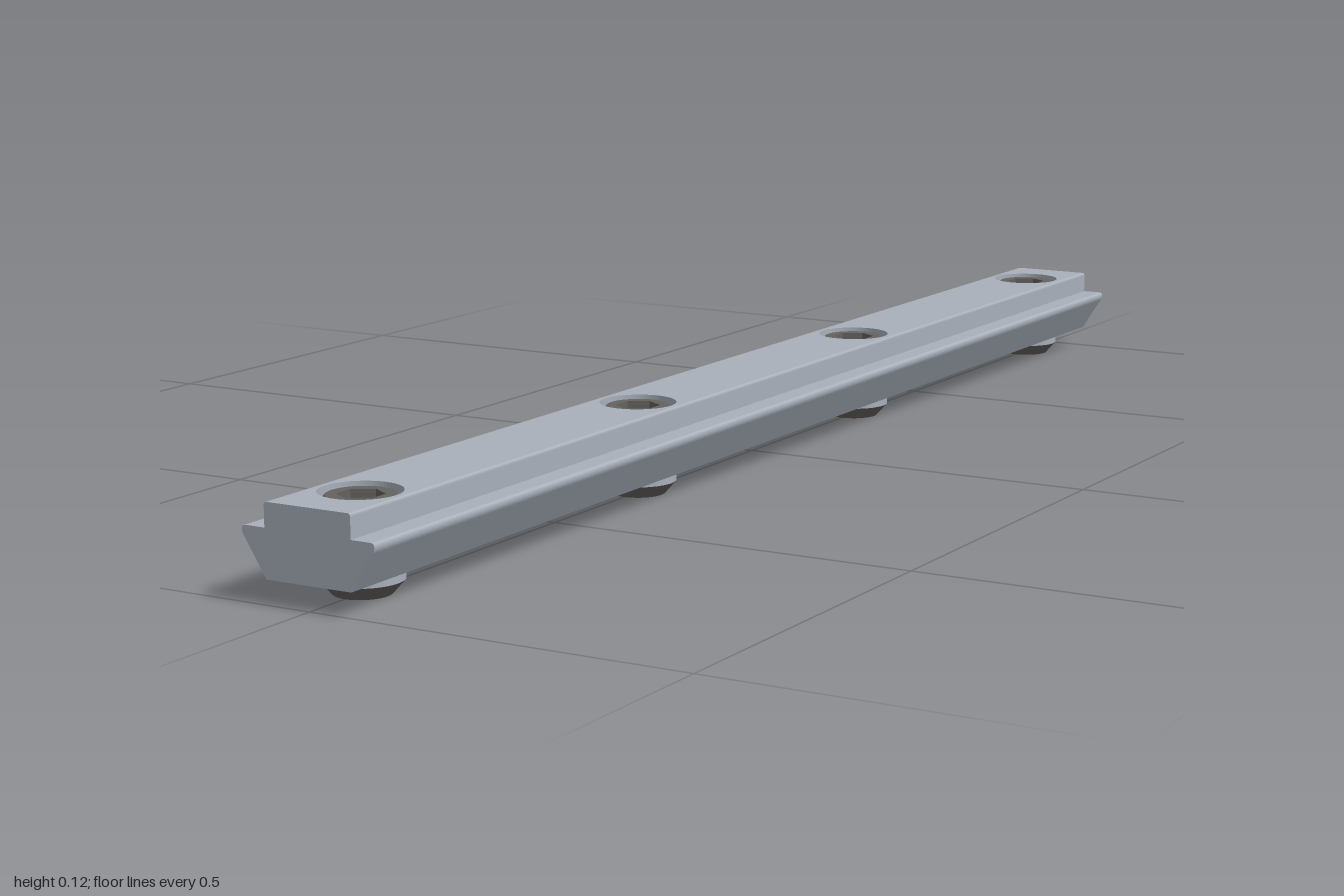
import * as THREE from 'three';

const steel = new THREE.MeshStandardMaterial({ color: 0xa8b0ba });
steel.name = 'brushed steel';
const dark = new THREE.MeshStandardMaterial({ color: 0x64625f, side: THREE.DoubleSide });
dark.name = 'dark screw steel';
const lining = new THREE.MeshStandardMaterial({ color: 0xa8b0ba, side: THREE.DoubleSide });
lining.name = 'steel lining';

const LENGTH = 2, CORE = 0.055, BOTTOM = 0.03, TOP = 0.12, HOLE = 0.05, SIDES = 40;
const SCREW_Z = [-0.9, -0.3, 0.3, 0.9];

function add(parent, name, geometry, material, y = 0) {
  const mesh = new THREE.Mesh(geometry, material);
  mesh.name = name;
  mesh.position.y = y;
  parent.add(mesh);
  return mesh;
}

// Open cylinder or cone wall between two heights
function wall(r0, y0, r1, y1, sides = SIDES) {
  return new THREE.CylinderGeometry(r1, r0, y1 - y0, sides, 1, true).translate(0, (y0 + y1) / 2, 0);
}

// Middle of the bar, with through holes for the screws
function coreGeometry() {
  const shape = new THREE.Shape();
  shape.moveTo(-CORE, -LENGTH / 2).lineTo(CORE, -LENGTH / 2);
  shape.lineTo(CORE, LENGTH / 2).lineTo(-CORE, LENGTH / 2).closePath();
  for (const z of SCREW_Z) {
    shape.holes.push(new THREE.Path().absarc(0, z, HOLE, 0, Math.PI * 2, true));
  }
  return new THREE.ExtrudeGeometry(shape, { depth: TOP - BOTTOM, bevelEnabled: false, curveSegments: SIDES })
    .rotateX(-Math.PI / 2).translate(0, BOTTOM, 0);
}

// Sloped flange and rounded shoulder on one side
function flangeGeometry(side) {
  const s = new THREE.Shape();
  s.moveTo(side * CORE, BOTTOM);
  s.lineTo(side * 0.059, BOTTOM);
  s.lineTo(side * 0.09, 0.078);
  s.quadraticCurveTo(side * 0.0925, 0.082, side * 0.092, 0.086);
  s.quadraticCurveTo(side * 0.0915, 0.09, side * 0.087, 0.09);
  s.lineTo(side * 0.06, 0.09);
  s.lineTo(side * 0.06, 0.116);
  s.quadraticCurveTo(side * 0.06, TOP, side * 0.056, TOP);
  s.lineTo(side * CORE, TOP);
  s.closePath();
  return new THREE.ExtrudeGeometry(s, { depth: LENGTH, bevelEnabled: false, curveSegments: 5 })
    .translate(0, 0, -LENGTH / 2);
}

// Set screw with a chamfered tip and a hexagonal socket
function makeScrew() {
  const screw = new THREE.Group();
  const faceY = 0.116, socketY = 0.07, hex = 0.029;
  add(screw, 'screwCollar', wall(HOLE, 0.017, HOLE, BOTTOM), lining);
  add(screw, 'screwTip', wall(0.035, 0, HOLE, 0.017), dark);
  add(screw, 'screwTipEnd', new THREE.CircleGeometry(0.035, SIDES).rotateX(Math.PI / 2), dark);
  add(screw, 'screwChamfer', wall(0.0495, 0.106, 0.041, faceY), dark);

  const ring = new THREE.Shape().absarc(0, 0, 0.041, 0, Math.PI * 2, false);
  const hole = new THREE.Path();
  for (let i = 0; i < 6; i++) {
    const a = -i * Math.PI / 3 + Math.PI / 2;
    hole[i ? 'lineTo' : 'moveTo'](hex * Math.cos(a), hex * Math.sin(a));
  }
  hole.closePath();
  ring.holes.push(hole);
  add(screw, 'screwFace', new THREE.ShapeGeometry(ring, SIDES / 2).rotateX(-Math.PI / 2), dark, faceY);

  const socket = wall(hex, socketY, hex, faceY, 6).toNonIndexed();
  socket.computeVertexNormals();
  add(screw, 'socketWall', socket, dark);
  add(screw, 'socketFloor', new THREE.CircleGeometry(hex, 6, Math.PI / 2).rotateX(-Math.PI / 2), dark, socketY);
  return screw;
}

export function createModel() {
  const model = new THREE.Group();
  model.name = 'slotConnectorBar';

  const bar = new THREE.Group();
  bar.name = 'bar';
  add(bar, 'barCore', coreGeometry(), steel);
  add(bar, 'leftFlange', flangeGeometry(1), steel);
  add(bar, 'rightFlange', flangeGeometry(-1), steel);
  model.add(bar);

  SCREW_Z.forEach((z, i) => {
    const screw = makeScrew();
    screw.name = `setScrew${i + 1}`;
    screw.position.z = z;
    model.add(screw);
  });
  return model;
}
